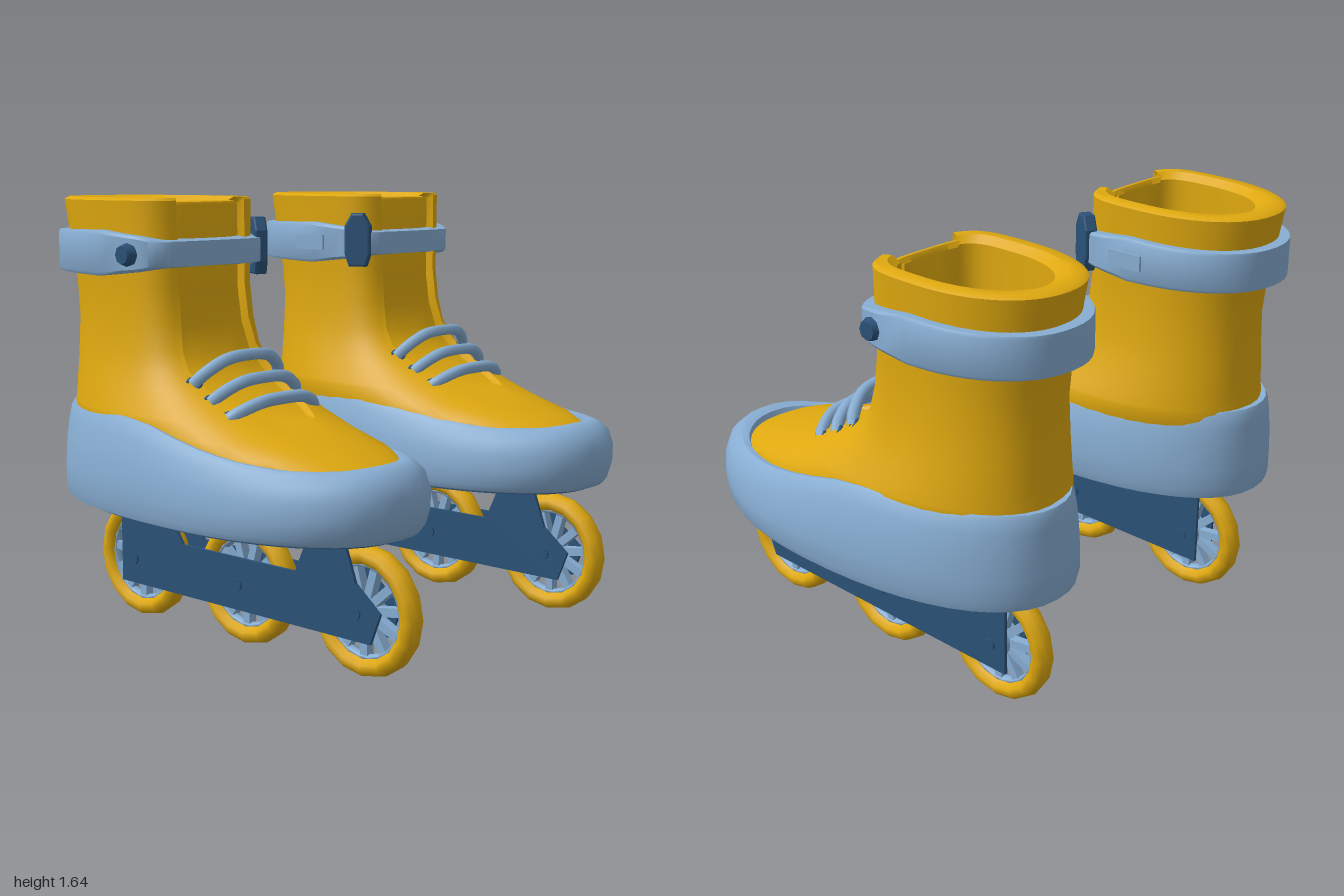
import * as THREE from 'three';
import { toCreasedNormals } from 'three/addons/utils/BufferGeometryUtils.js';

const mat = (name, color) => {
  const m = new THREE.MeshStandardMaterial({ color });
  m.name = name;
  return m;
};

// Skin of closed rings (counter-clockwise from above), with optional end caps
function loft(rings, capStart, capEnd) {
  const n = rings[0].length, pos = [], idx = [];
  rings.forEach(r => r.forEach(p => pos.push(...p)));
  for (let i = 0; i < rings.length - 1; i++) {
    for (let j = 0; j < n; j++) {
      const a = i * n + j, b = i * n + (j + 1) % n;
      idx.push(a, b, b + n, a, b + n, a + n);
    }
  }
  const cap = (ring, base, up) => {
    const c = pos.length / 3;
    pos.push(...[0, 1, 2].map(k => ring.reduce((s, p) => s + p[k], 0) / n));
    for (let j = 0; j < n; j++) {
      const a = base + j, b = base + (j + 1) % n;
      if (up) idx.push(c, a, b); else idx.push(c, b, a);
    }
  };
  if (capStart) cap(rings[0], 0, false);
  if (capEnd) cap(rings[rings.length - 1], (rings.length - 1) * n, true);
  const g = new THREE.BufferGeometry();
  g.setAttribute('position', new THREE.Float32BufferAttribute(pos, 3));
  g.setIndex(idx);
  return toCreasedNormals(g, 0.6);
}

// Rounded oval with separate front and back lengths; returns [x, z]
function oval(t, hw, zf, zb, zc, ef) {
  const s = Math.sin(t), c = Math.cos(t), e = c > 0 ? ef : 0.9;
  return [hw * Math.sign(s) * Math.abs(s) ** e,
    zc + (c > 0 ? zf - zc : zb - zc) * Math.abs(c) ** e];
}

function ovalRing(hw, zf, zb, zc, ef, yAt) {
  return Array.from({ length: 48 }, (_, i) => {
    const [x, z] = oval(i / 24 * Math.PI, hw, zf, zb, zc, ef);
    return [x, yAt(z), z];
  });
}

// Linear lookup in a list of [z, value]
function lookup(list, z) {
  let i = 1;
  while (i < list.length - 1 && z > list[i][0]) i++;
  const [a, b] = [list[i - 1], list[i]];
  return a[1] + (b[1] - a[1]) * THREE.MathUtils.clamp((z - a[0]) / (b[0] - a[0]), 0, 1);
}

// One boot level; the front carries a recessed tongue of half width w and depth d.
// The section gets squarer in front as it rises from the toe to the cuff.
function bootRing([y, hw, zf, zb, w, d]) {
  const zc = (zf + zb) / 2 + 0.06;
  const ef = THREE.MathUtils.clamp(0.67 + zf * (zf < 0 ? 1.2 : 0.6), 0.5, 0.9);
  const ring = [], start = Math.asin((w / hw) ** (1 / ef)), M = 44, G = 7;
  for (let i = 0; i <= M; i++) {
    const [x, z] = oval(start + (2 * Math.PI - 2 * start) * i / M, hw, zf, zb, zc, ef);
    ring.push([x, y, z]);
  }
  for (let i = 0; i < G; i++) {
    const x = w * 0.98 * (2 * i / (G - 1) - 1);
    const s = (Math.abs(x) / hw) ** (1 / ef);
    ring.push([x, y - d * 0.5, zc + (zf - zc) * (1 - s * s) ** (ef / 2) - d]);
  }
  return ring;
}

// height, half width, front z, back z, tongue half width, tongue depth
const BOOT_OUTSIDE = [
  [0.60, 0.35, 0.70, -0.775, 0.08, 0],
  [0.74, 0.355, 0.70, -0.775, 0.08, 0],
  [0.775, 0.36, 0.63, -0.775, 0.08, 0],
  [0.82, 0.362, 0.46, -0.775, 0.08, 0],
  [0.867, 0.358, 0.31, -0.772, 0.08, 0],
  [0.88, 0.353, 0.275, -0.77, 0.11, 0.025],
  [0.92, 0.336, 0.18, -0.768, 0.16, 0.03],
  [0.97, 0.317, 0.07, -0.765, 0.19, 0.035],
  [1.03, 0.298, -0.02, -0.762, 0.2, 0.035],
  [1.10, 0.284, -0.08, -0.76, 0.185, 0.035],
  [1.20, 0.274, -0.11, -0.757, 0.17, 0.035],
  [1.32, 0.27, -0.125, -0.77, 0.165, 0.035],
];
const BOOT_COLLAR = [
  [1.635, 0.288, -0.13, -0.828, 0.17, 0.035],
  [1.645, 0.272, -0.137, -0.812, 0.165, 0.033],
  [1.645, 0.235, -0.165, -0.76, 0.15, 0.025],
  [1.62, 0.205, -0.19, -0.71, 0.13, 0.012],
  [0.80, 0.2, -0.2, -0.70, 0.13, 0],
];

// Height of the shell's upper edge along z
const SHELL_EDGE = [[-0.9, 0.87], [-0.25, 0.876], [-0.1, 0.862], [0.1, 0.812],
  [0.3, 0.776], [0.5, 0.757], [0.65, 0.76], [0.76, 0.776]];
// height fraction, half width, front z, back z
const SHELL = [[0, 0.385, 0.76, -0.785], [0.03, 0.408, 0.782, -0.815], [0.12, 0.418, 0.80, -0.822],
  [0.35, 0.42, 0.82, -0.82], [0.6, 0.41, 0.825, -0.816], [0.82, 0.39, 0.805, -0.812],
  [0.95, 0.37, 0.765, -0.808], [1, 0.356, 0.735, -0.80], [0.99, 0.34, 0.70, -0.775], [0.8, 0.33, 0.68, -0.76]];

export function createModel() {
  const yellow = mat('golden yellow', 0xdea80f);
  const sky = mat('light blue', 0x87add2);
  const navy = mat('dark blue', 0x2b5278);

  const add = (parent, name, geo, material, x = 0, y = 0, z = 0) => {
    const m = new THREE.Mesh(geo, material);
    m.name = name;
    m.position.set(x, y, z);
    parent.add(m);
    return m;
  };

  // Boot, shell and sole shapes
  const bootGeo = loft([...BOOT_OUTSIDE, ...BOOT_COLLAR].map(bootRing), true, true);
  const shellGeo = loft(SHELL.map(([t, hw, zf, zb]) => ovalRing(hw, zf, zb, 0.05, 0.92,
    z => 0.51 + t * (lookup(SHELL_EDGE, z) - 0.51))), true, false);
  const plateGeo = (k, y0, y1) => loft([y0, y1].map(y =>
    ovalRing(0.37 * k, 0.74 * k, -0.765 * k, 0.05, 0.92, () => y)), true, true);
  const soleGeo = plateGeo(1, 0.502, 0.515), innerSoleGeo = plateGeo(0.84, 0.495, 0.505);

  // Ankle strap: narrow in front, broad around the sides and heel
  const half = z => lookup([[-0.9, 0.072], [-0.4, 0.083], [-0.2, 0.062], [-0.14, 0.045]], z);
  const strapGeo = loft([[0.255, -1, 0.06], [0.312, -1, 0], [0.32, -0.85, 0], [0.32, 0.85, 0],
    [0.312, 1, 0], [0.255, 1, 0.06]].map(([hw, k, inset]) =>
    ovalRing(hw, -0.1 - inset, -0.85 + inset, -0.4, 0.5, z => 1.447 + k * half(z))));

  // Frame side plate, drawn in (-z, y) and turned upright
  const frame = new THREE.Shape([[0.725, 0.255], [0.68, 0.142], [-0.607, 0.142], [-0.607, 0.505],
    [-0.367, 0.505], [-0.255, 0.34], [0.33, 0.34], [0.405, 0.505], [0.555, 0.505], [0.614, 0.345]]
    .map(([z, y]) => new THREE.Vector2(-z, y)));
  const frameGeo = new THREE.ExtrudeGeometry(frame, { depth: 0.012, bevelEnabled: false });
  frameGeo.rotateY(Math.PI / 2).translate(-0.006, 0, 0);

  // Wheel parts, axle along x
  const tireGeo = new THREE.TorusGeometry(0.2, 0.036, 10, 16).scale(1, 1, 1.28).rotateY(Math.PI / 2);
  const rimGeo = new THREE.TorusGeometry(0.166, 0.012, 6, 22).scale(1, 1, 2).rotateY(Math.PI / 2);
  const hubGeo = new THREE.CylinderGeometry(0.06, 0.06, 0.07, 16).rotateZ(Math.PI / 2);
  const spokeGeo = new THREE.BoxGeometry(0.035, 0.13, 0.032).translate(0, 0.105, 0);
  const boltGeo = new THREE.CylinderGeometry(0.024, 0.024, 0.136, 12).rotateZ(Math.PI / 2);

  // Buckle lever: tall rounded plate
  const leverShape = new THREE.Shape([[-0.03, -0.095], [0.03, -0.095], [0.045, -0.05], [0.045, 0.06],
    [0.02, 0.105], [-0.02, 0.105], [-0.045, 0.06], [-0.045, -0.05]].map(p => new THREE.Vector2(...p)));
  const leverGeo = new THREE.ExtrudeGeometry(leverShape,
    { depth: 0.035, bevelSize: 0.008, bevelThickness: 0.008, bevelSegments: 2 });
  leverGeo.rotateY(Math.PI / 2).translate(-0.0175, 0, 0);

  function skate(side, name) {
    const s = new THREE.Group();
    s.name = name;
    s.position.x = side * 0.565;

    add(s, 'boot', bootGeo, yellow);
    add(s, 'shell', shellGeo, sky, side * 0.015);
    add(s, 'solePlate', soleGeo, navy, side * 0.015);
    add(s, 'soleInset', innerSoleGeo, navy, side * 0.015);
    add(s, 'ankleStrap', strapGeo, sky);

    // Strap rivet outside, lever buckle inside
    const rivet = new THREE.CylinderGeometry(0.034, 0.046, 0.035, 8).rotateZ(-side * Math.PI / 2);
    add(s, 'strapRivet', rivet, navy, side * 0.322, 1.445, -0.245);
    add(s, 'buckleLever', leverGeo, navy, -side * 0.275, 1.455, -0.175).rotation.y = side * 0.5;
    add(s, 'strapSlidePlate', new THREE.BoxGeometry(0.02, 0.06, 0.15), sky, -side * 0.317, 1.447, -0.4);

    // Laces: end y, end z, middle y, middle z
    [[0.885, 0.165, 0.945, 0.225], [0.935, 0.075, 1.01, 0.13], [0.99, -0.015, 1.085, 0.05]]
      .forEach(([ye, ze, ym, zm], i) => {
        const pts = [[-0.215, 0], [-0.195, 0.3], [-0.11, 0.88], [0, 1], [0.11, 0.88], [0.195, 0.3], [0.215, 0]]
          .map(([x, k]) => new THREE.Vector3(x, ye + (ym - ye) * k, ze + (zm - ze) * k));
        add(s, 'lace' + (i + 1), new THREE.TubeGeometry(new THREE.CatmullRomCurve3(pts), 24, 0.023, 8), sky);
        for (const e of [-1, 1]) {
          const eyelet = add(s, 'eyelet', new THREE.TorusGeometry(0.024, 0.009, 6, 12), navy, e * 0.213, ye, ze);
          eyelet.rotation.set(-0.8, e * 0.7, 0);
        }
      });

    // Frame: two plates with mounts under the sole
    for (const e of [-1, 1]) add(s, 'framePlate', frameGeo, navy, e * 0.054);
    add(s, 'frontMount', new THREE.BoxGeometry(0.11, 0.02, 0.15), navy, 0, 0.492, 0.48);
    add(s, 'rearMount', new THREE.BoxGeometry(0.11, 0.02, 0.24), navy, 0, 0.492, -0.487);

    // Wheels
    [0.615, 0.04, -0.535].forEach(z => {
      const w = new THREE.Group();
      w.name = 'wheel';
      w.position.set(0, 0.24, z);
      s.add(w);
      add(w, 'tire', tireGeo, yellow);
      add(w, 'rim', rimGeo, sky);
      add(w, 'hub', hubGeo, sky);
      add(w, 'axleBolt', boltGeo, navy);
      for (let i = 0; i < 11; i++) {
        add(w, 'spoke', spokeGeo, sky).rotation.x = (i + 0.5) / 11 * 2 * Math.PI;
      }
    });
    return s;
  }

  const model = new THREE.Group();
  model.name = 'inlineSkates';
  model.add(skate(1, 'leftSkate'), skate(-1, 'rightSkate'));
  return model;
}
